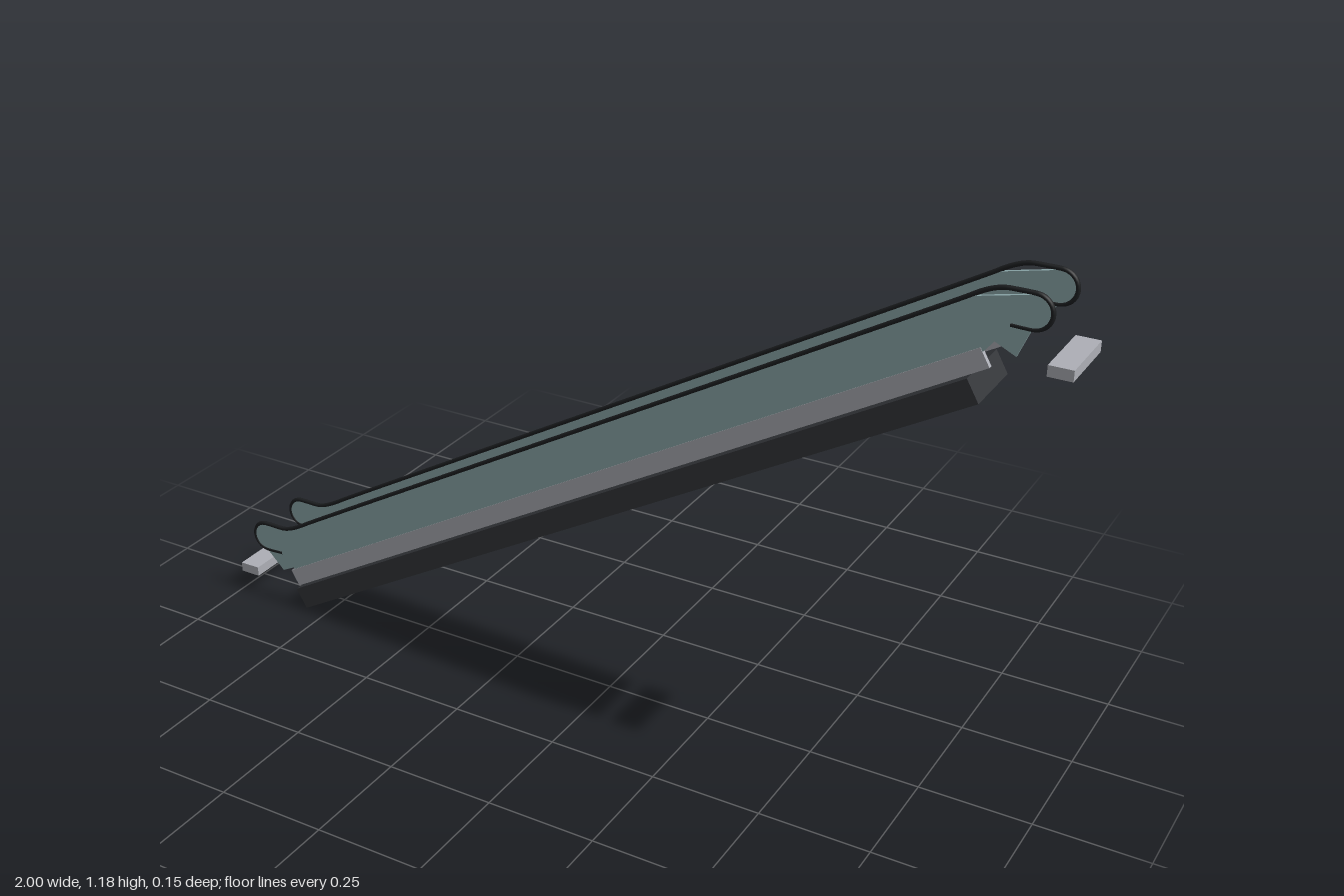
import * as THREE from 'three';

const mat = (color, opts = {}) => new THREE.MeshStandardMaterial({ color, ...opts });
const SLOPE = Math.PI / 6;

// Shared outline of the handrail and the top edge of the balustrade
function traceTop(path) {
  path.absarc(-0.918, 0.165, 0.035, -Math.PI / 2, Math.PI / 2, true);
  path.lineTo(-0.87, 0.2);
  path.quadraticCurveTo(-0.845, 0.2, -0.79, 0.235);
  path.lineTo(0.79, 1.15);
}

function railCurve() {
  const path = new THREE.Path();
  path.moveTo(-0.873, 0.132);
  path.lineTo(-0.918, 0.13);
  traceTop(path);
  path.quadraticCurveTo(0.835, 1.18, 0.865, 1.18);
  path.lineTo(0.913, 1.18);
  path.absarc(0.913, 1.145, 0.035, Math.PI / 2, -Math.PI / 2, true);
  path.lineTo(0.872, 1.111);
  const pts = path.getPoints(10).filter((p, i, a) => !i || p.distanceTo(a[i - 1]) > 1e-4);
  return new THREE.CatmullRomCurve3(pts.map(p => new THREE.Vector3(p.x, p.y, 0)));
}

// Panel with rounded ends and a pointed tooth below each end
function panelShape() {
  const s = new THREE.Shape();
  s.moveTo(-0.918, 0.13);
  traceTop(s);
  s.lineTo(0.913, 1.178);
  s.absarc(0.913, 1.145, 0.034, Math.PI / 2, -Math.PI / 2, true);
  s.lineTo(0.889, 1.052);
  s.lineTo(0.846, 1.073);
  s.lineTo(0.82, 1.04);
  s.lineTo(-0.825, 0.09);
  s.lineTo(-0.842, 0.101);
  s.lineTo(-0.873, 0.085);
  s.closePath();
  return s;
}

export function createModel() {
  const group = new THREE.Group();
  const dark = mat(0x34363a), silver = mat(0xadafb6);
  const glass = mat(0x8fabad), rubber = mat(0x1c1e20);

  const add = (name, geo, material, x, y, z, tilt = 0) => {
    const mesh = new THREE.Mesh(geo, material);
    mesh.name = name;
    mesh.position.set(x, y, z);
    mesh.rotation.z = tilt;
    group.add(mesh);
  };

  // Sloping truss that carries the moving steps
  add('truss', new THREE.BoxGeometry(1.888, 0.053, 0.154), dark, -0.002, 0.496, 0, SLOPE);

  // Balustrade, skirt and handrail on both sides
  const thickness = 0.007;
  const panel = new THREE.ExtrudeGeometry(panelShape(), { depth: thickness, bevelEnabled: false, curveSegments: 12 });
  panel.translate(0, 0, -thickness / 2);
  const skirt = new THREE.BoxGeometry(1.927, 0.042, 0.01);
  const rail = new THREE.TubeGeometry(railCurve(), 320, 0.005, 8, false);
  for (const [side, z] of [['left', 0.068], ['right', -0.068]]) {
    add(side + 'Balustrade', panel, glass, 0, 0, z);
    add(side + 'Skirt', skirt, silver, -0.003, 0.556, z, SLOPE);
    add(side + 'Handrail', rail, rubber, 0, 0, z);
  }

  // Landing plates at the foot and the head
  const plate = new THREE.BoxGeometry(0.05, 0.023, 0.154);
  add('lowerLandingPlate', plate, silver, -0.975, 0.06, 0);
  add('upperLandingPlate', plate, silver, 0.975, 1.041, 0);

  return group;
}
